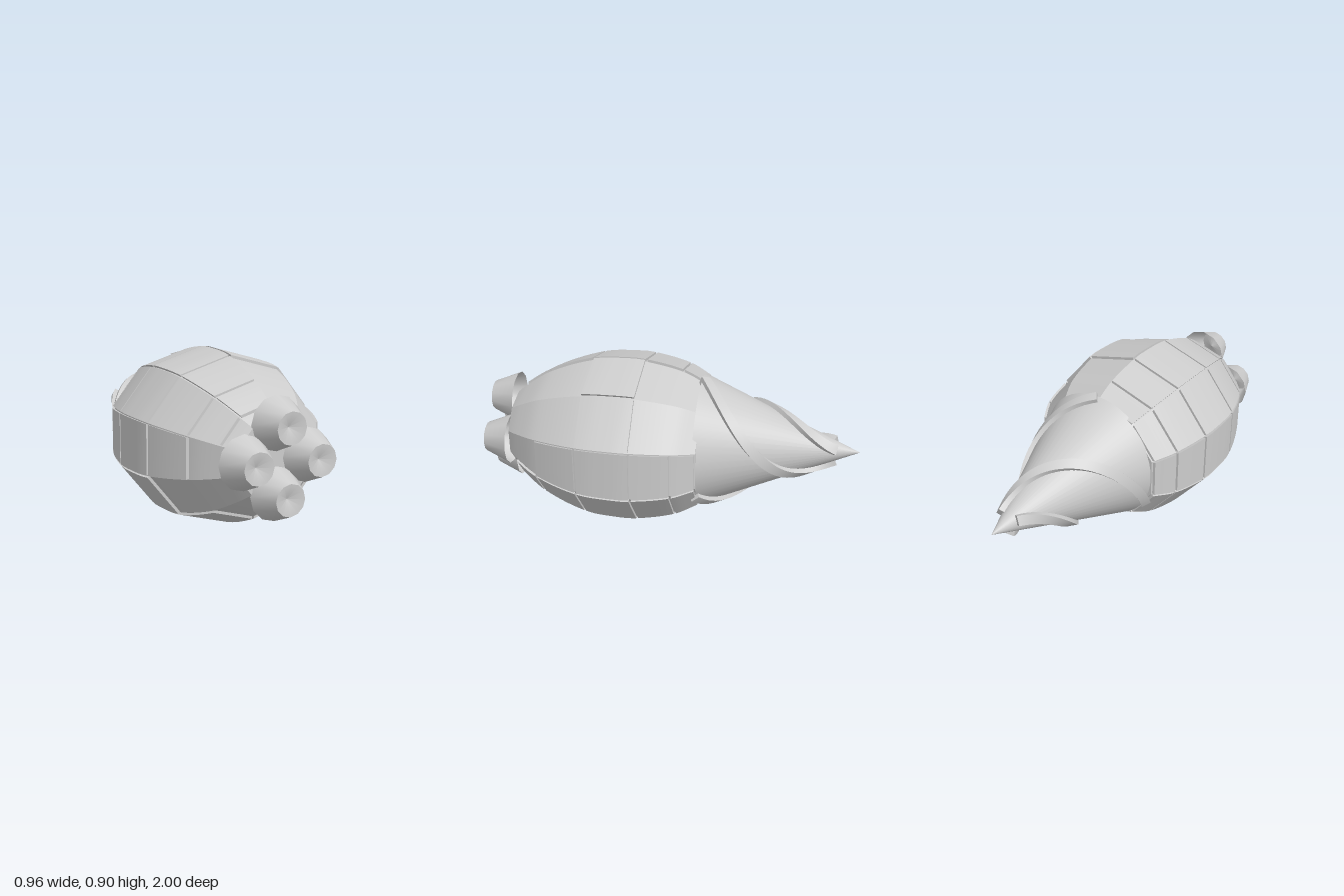
import * as THREE from 'three';
import { mergeGeometries, toCreasedNormals } from 'three/addons/utils/BufferGeometryUtils.js';

const CY = 0.455; // height of the long axis
const WIDEN = 1.117; // hull is wider than tall
const HULL = [[-0.17, 0.345], [-0.05, 0.405], [0.15, 0.448], [0.25, 0.452], [0.44, 0.435], [0.68, 0.348], [0.82, 0.255], [0.87, 0.212]];
const RINGS = [-0.17, -0.05, 0.15, 0.44, 0.68, 0.82];

// Smooth hull radius along z
function hullRadius(z) {
  const slope = (i) => {
    const a = HULL[Math.max(i - 1, 0)], b = HULL[Math.min(i + 1, HULL.length - 1)];
    return (b[1] - a[1]) / (b[0] - a[0]);
  };
  let i = 0;
  while (i < HULL.length - 2 && z > HULL[i + 1][0]) i++;
  const [z0, r0] = HULL[i], [z1, r1] = HULL[i + 1], w = z1 - z0, t = (z - z0) / w;
  const t2 = t * t, t3 = t2 * t;
  return r0 * (2 * t3 - 3 * t2 + 1) + slope(i) * w * (t3 - 2 * t2 + t)
    + r1 * (3 * t2 - 2 * t3) + slope(i + 1) * w * (t3 - t2);
}

// Point on side k of the ten-sided hull, u running along that side
function hullPoint(k, u, z, offset, scale = 1) {
  const corner = (n) => {
    const a = Math.PI / 2 + n * Math.PI / 5;
    return new THREE.Vector3(WIDEN * Math.cos(a), Math.sin(a), 0);
  };
  const p = corner(k).lerp(corner(k + 1), u).multiplyScalar((hullRadius(z) + offset) * scale);
  return p.set(p.x, p.y + CY, z);
}

// Surface from f(u, v), facing along du x dv
function sheet(f, nu, nv) {
  const pos = [], index = [];
  for (let j = 0; j <= nv; j++)
    for (let i = 0; i <= nu; i++) pos.push(...f(i / nu, j / nv).toArray());
  for (let j = 0; j < nv; j++)
    for (let i = 0; i < nu; i++) {
      const a = j * (nu + 1) + i, c = a + nu + 1;
      index.push(a, a + 1, c, a + 1, c + 1, c);
    }
  const g = new THREE.BufferGeometry();
  g.setAttribute('position', new THREE.Float32BufferAttribute(pos, 3));
  g.setIndex(index);
  g.computeVertexNormals();
  return g;
}

// Raised armour plate: curved face and four walls
function plate(k, za, zb) {
  const gap = 0.006, low = -0.018;
  const at = (u, v, d) => {
    const z = THREE.MathUtils.lerp(za + gap, zb - gap, v);
    const m = gap / (hullRadius(z) * 0.62);
    return hullPoint(k, THREE.MathUtils.lerp(m, 1 - m, u), z, low * (1 - d));
  };
  return mergeGeometries([
    sheet((u, v) => at(u, v, 1), 1, 6),
    sheet((v, d) => at(1, v, d), 6, 1),
    sheet((d, v) => at(0, v, d), 1, 6),
    sheet((d, u) => at(u, 1, d), 1, 1),
    sheet((u, d) => at(u, 0, d), 1, 1),
  ]);
}

// Raised strip winding half a turn around the nose
function spiral(startDeg) {
  const z0 = -0.16, z1 = -0.87, half = 0.026;
  const center = (t) => {
    const z = z0 + (z1 - z0) * t, a = THREE.MathUtils.degToRad(startDeg - 180 * t);
    const r = 0.35 * (1 + z) / 0.84;
    return new THREE.Vector3(r * Math.cos(a), CY + r * Math.sin(a), z);
  };
  const corners = (t) => {
    const c = center(t);
    const out = new THREE.Vector3(c.x, c.y - CY, 0).normalize().setZ(-0.4).normalize();
    const side = center(t + 0.01).sub(center(t - 0.01)).normalize().cross(out).normalize();
    return [[-1, -0.02], [-1, 0.024], [1, 0.024], [1, -0.02]].map(([s, h]) =>
      c.clone().addScaledVector(side, s * half).addScaledVector(out, h));
  };
  const parts = [0, 1, 2, 3].map((e) =>
    sheet((u, v) => corners(v)[e].lerp(corners(v)[(e + 1) % 4], u), 1, 36));
  // End caps
  for (const t of [0, 1]) {
    const [a, b, c, d] = corners(t);
    parts.push(sheet((u, v) => a.clone().lerp(d, u).lerp(b.clone().lerp(c, u), v), 1, 1));
  }
  return mergeGeometries(parts);
}

export function createModel() {
  const model = new THREE.Group();
  model.name = 'drillRocket';
  const metal = new THREE.MeshStandardMaterial({ color: 0xcccccc, side: THREE.DoubleSide });
  metal.name = 'light grey metal';
  const add = (name, geometry, parent = model) => {
    const mesh = new THREE.Mesh(geometry, metal);
    mesh.name = name;
    parent.add(mesh);
    return mesh;
  };

  // Inner hull with both ends closed
  const hull = [];
  for (let k = 0; k < 10; k++) {
    hull.push(sheet((u, v) => hullPoint(k, u, -0.17 + 1.04 * v, -0.014), 1, 30));
    hull.push(sheet((u, v) => hullPoint(k, u, 0.87, -0.014, 1 - v), 1, 1));
    hull.push(sheet((u, v) => hullPoint(k, u, -0.17, -0.014, v), 1, 1));
  }
  add('hull', mergeGeometries(hull));

  // Armour plates; each side lists its bare rings, counted from the nose
  const bare = [[], [], [4], [3, 4], [4], [4], [], [4], [0, 1, 3, 4], [0, 1, 3, 4]];
  const plates = new THREE.Group();
  plates.name = 'armourPlates';
  model.add(plates);
  bare.forEach((skip, k) => {
    for (let r = 0; r < 5; r++)
      if (!skip.includes(r)) add('armourPlate', plate(k, RINGS[r], RINGS[r + 1]), plates);
  });

  // Drill nose and its three spiral strips
  const nose = new THREE.ConeGeometry(0.356, 0.85, 48, 1, true).rotateX(-Math.PI / 2);
  add('drillNose', nose).position.set(0, CY, -0.575);
  for (const start of [90, 210, 330]) add('spiralStrip', spiral(start));

  // Four nozzles, open behind, with a shallow recess in front
  const profile = [[0.136, 0], [0.08, 0.135], [0.07, 0.135], [0, 0.1]].map(([x, y]) => new THREE.Vector2(x, y));
  const nozzle = toCreasedNormals(new THREE.LatheGeometry(profile, 12).rotateX(Math.PI / 2), 0.6);
  for (const [x, y] of [[0, 0.17], [0, -0.17], [0.172, 0], [-0.172, 0]])
    add('nozzle', nozzle).position.set(x, CY + y, 0.865);

  return model;
}
